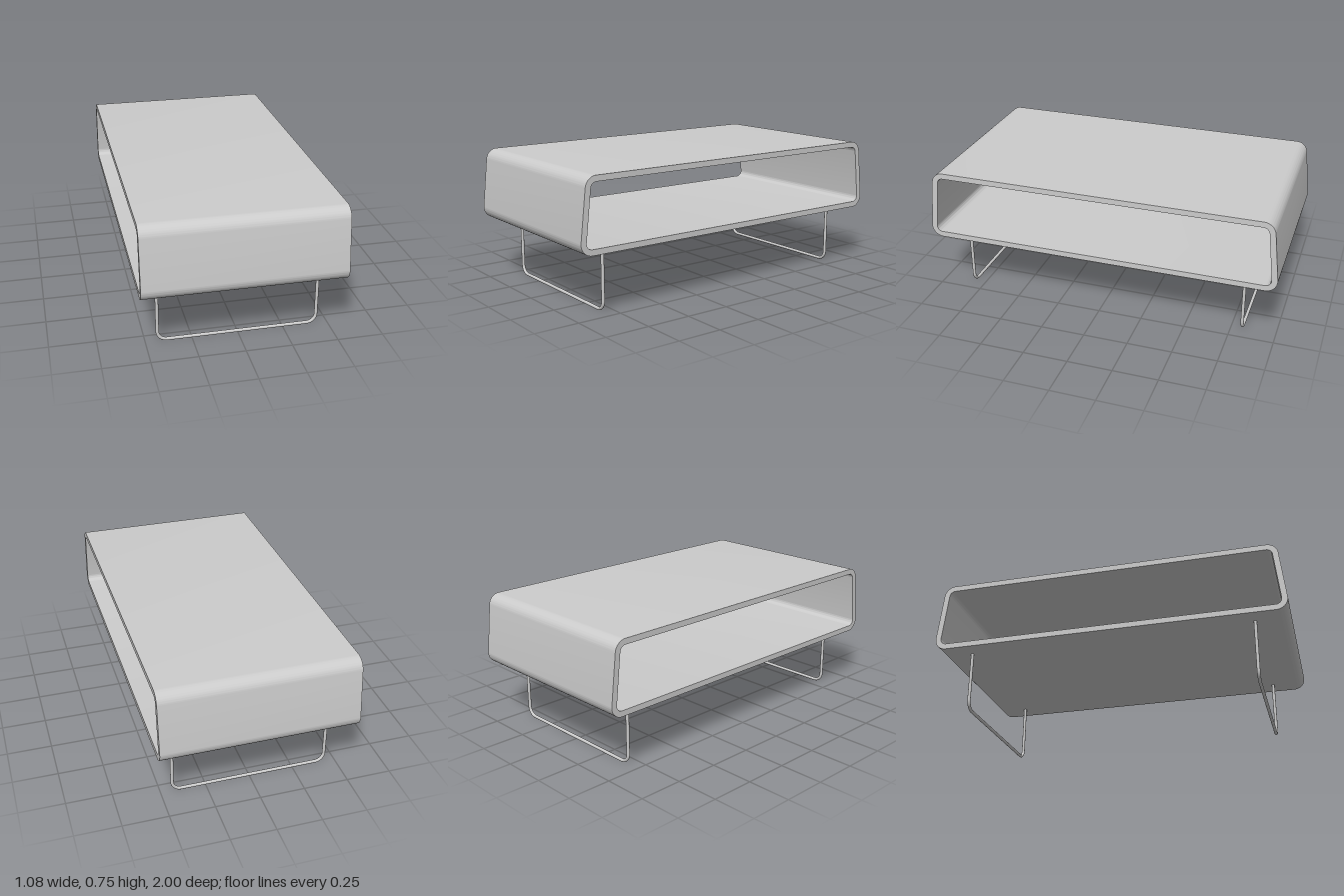
import * as THREE from 'three';
import { toCreasedNormals } from 'three/addons/utils/BufferGeometryUtils.js';

const material = new THREE.MeshStandardMaterial({ color: 0xcccccc });

// Rounded trapezoid: four corner arcs joined by straight walls
function trace(path, radius) {
  const [bottomX, bottomY, topX, topY] = [0.935, 0.41, 0.905, 0.682];
  const lean = Math.atan2(bottomX - topX, topY - bottomY);
  const q = Math.PI / 2;
  path.absarc(bottomX, bottomY, radius, -q, lean, false);
  path.absarc(topX, topY, radius, lean, q, false);
  path.absarc(-topX, topY, radius, q, Math.PI - lean, false);
  path.absarc(-bottomX, bottomY, radius, Math.PI - lean, 3 * q, false);
  path.closePath();
  return path;
}

// Hollow table body, open at both sides
function createShell() {
  const width = 1.08;
  const shape = trace(new THREE.Shape(), 0.065);
  shape.holes.push(trace(new THREE.Path(), 0.033));
  const geometry = new THREE.ExtrudeGeometry(shape, { depth: width, bevelEnabled: false, curveSegments: 12 });
  geometry.translate(0, 0, -width / 2).rotateY(Math.PI / 2);
  const shell = new THREE.Mesh(toCreasedNormals(geometry, 0.5), material);
  shell.name = 'tableShell';
  return shell;
}

// U-shaped bent rod
function createLegGeometry() {
  const x = 0.435, foot = 0.009, top = 0.352, bend = 0.05, k = bend * 0.45;
  const v = (px, py) => new THREE.Vector3(px, py, 0);
  const path = new THREE.CurvePath();
  path.add(new THREE.LineCurve3(v(-x, top), v(-x, foot + bend)));
  path.add(new THREE.CubicBezierCurve3(v(-x, foot + bend), v(-x, foot + k), v(-x + k, foot), v(-x + bend, foot)));
  path.add(new THREE.LineCurve3(v(-x + bend, foot), v(x - bend, foot)));
  path.add(new THREE.CubicBezierCurve3(v(x - bend, foot), v(x - k, foot), v(x, foot + k), v(x, foot + bend)));
  path.add(new THREE.LineCurve3(v(x, foot + bend), v(x, top)));
  return new THREE.TubeGeometry(path, 180, 0.009, 16, false);
}

export function createModel() {
  const model = new THREE.Group();
  model.name = 'coffeeTable';
  model.add(createShell());

  // Front and back legs
  const legGeometry = createLegGeometry();
  for (const [name, z] of [['frontLeg', 0.813], ['backLeg', -0.813]]) {
    const leg = new THREE.Mesh(legGeometry, material);
    leg.name = name;
    leg.position.z = z;
    model.add(leg);
  }
  return model;
}
